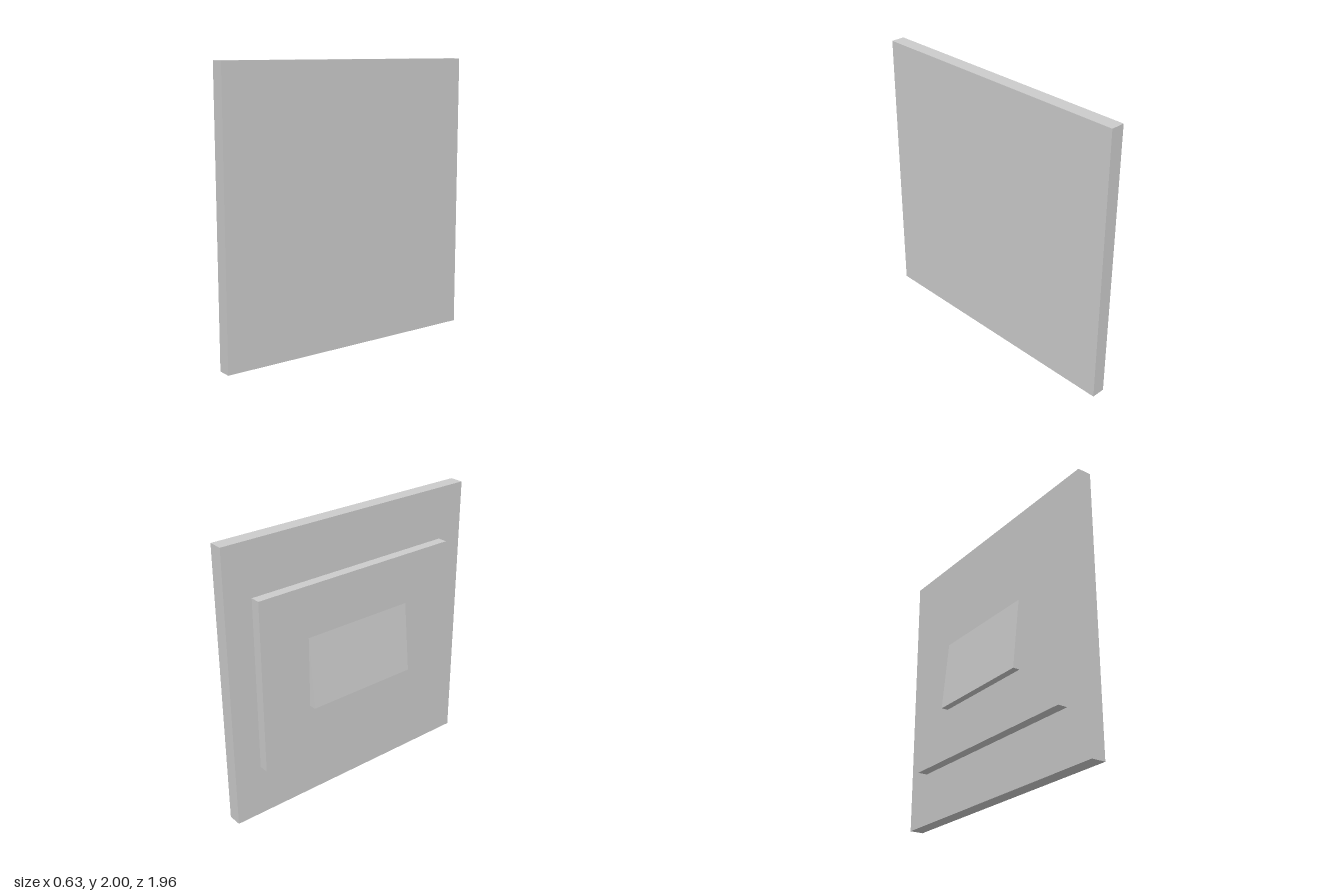
import * as THREE from 'three';

export function createModel() {
  const model = new THREE.Group();
  model.name = 'wallPanel';
  const material = new THREE.MeshStandardMaterial({ color: 0xcccccc, flatShading: true });

  // Assembly faces local +z; the layers stack up behind it along -z
  const assembly = new THREE.Group();
  assembly.name = 'panelAssembly';
  assembly.position.set(0.008, 1, 0);
  assembly.rotation.y = THREE.MathUtils.degToRad(75);
  model.add(assembly);

  const add = (name, geometry, z) => {
    const mesh = new THREE.Mesh(geometry, material);
    mesh.name = name;
    mesh.position.z = z;
    assembly.add(mesh);
  };

  const panelDepth = 0.1, plateDepth = 0.07;

  // Square main panel and the smaller plate on its back
  add('mainPanel', new THREE.BoxGeometry(2, 2, panelDepth), 0);
  add('backPlate', new THREE.BoxGeometry(1.6, 1.245, plateDepth), -(panelDepth + plateDepth) / 2);

  // Wedge on the plate: full depth at the bottom, tapering to nothing at the top
  const width = 0.85, halfHeight = 0.255, depth = 0.05;
  const profile = new THREE.Shape();
  profile.moveTo(0, -halfHeight);
  profile.lineTo(depth, -halfHeight);
  profile.lineTo(0, halfHeight);
  profile.closePath();
  const wedge = new THREE.ExtrudeGeometry(profile, { depth: width, bevelEnabled: false });
  wedge.translate(0, 0, -width / 2).rotateY(Math.PI / 2);
  add('backWedge', wedge, -panelDepth / 2 - plateDepth);

  return model;
}
